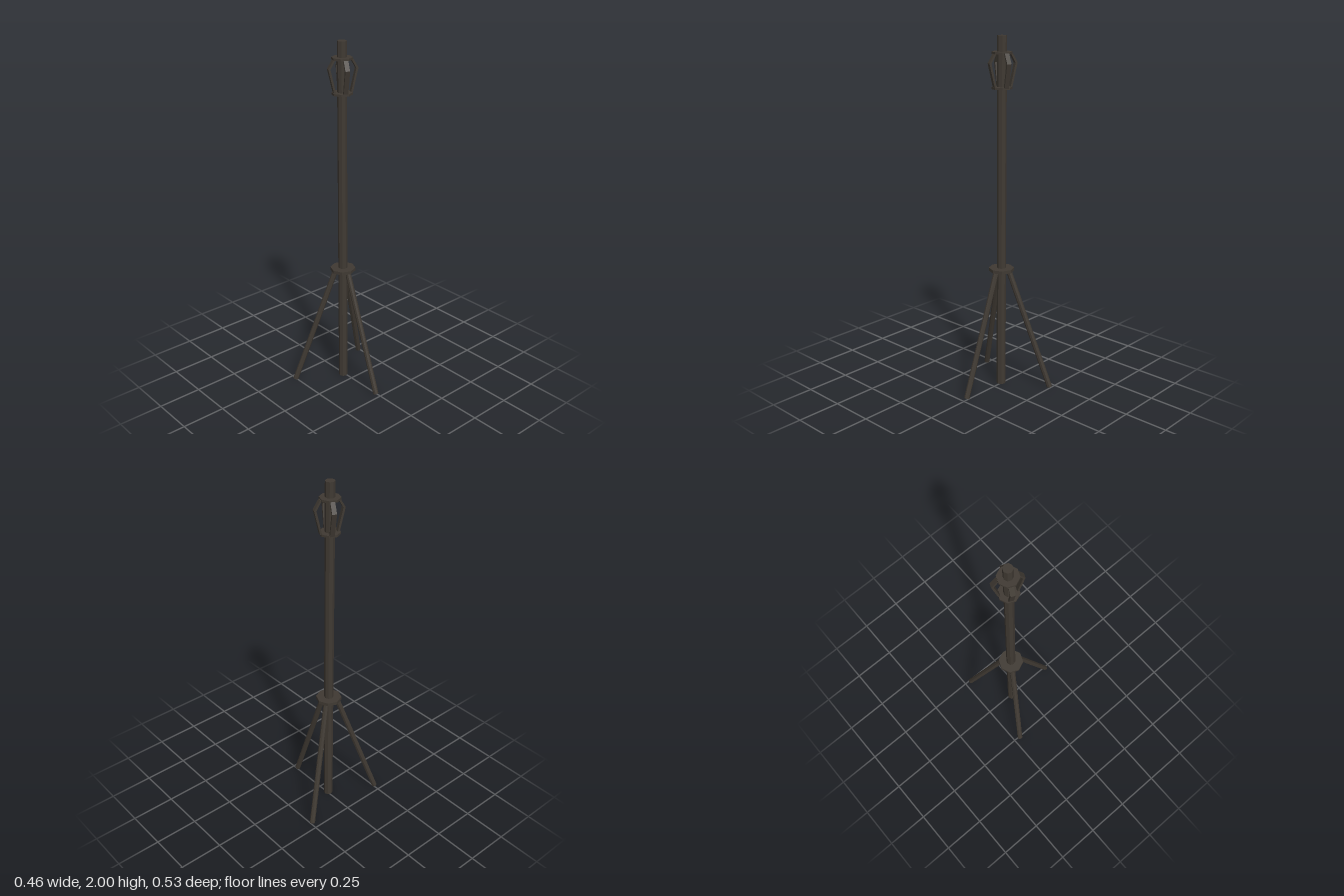
import * as THREE from 'three';

export function createModel() {
  const model = new THREE.Group();
  const darkIron = new THREE.MeshStandardMaterial({ color: 0x3f3932, flatShading: true });
  const axisX = -0.067, axisZ = 0.007;

  function add(name, geometry, parent = model) {
    const mesh = new THREE.Mesh(geometry, darkIron);
    mesh.name = name;
    parent.add(mesh);
    return mesh;
  }

  // Octagonal disc or post centred on the pole axis
  function column(name, radius, y0, y1) {
    add(name, new THREE.CylinderGeometry(radius, radius, y1 - y0, 8))
      .position.set(axisX, (y0 + y1) / 2, axisZ);
  }
  column('pole', 0.026, 0, 2);
  column('legCollar', 0.071, 0.696, 0.714);
  column('lowerCageRing', 0.056, 1.719, 1.731);
  column('upperCageRing', 0.056, 1.904, 1.916);

  // Three splayed legs
  const up = new THREE.Vector3(0, 1, 0);
  for (let i = 0; i < 3; i++) {
    const a = (i * Math.PI * 2) / 3;
    const foot = new THREE.Vector3(0.287 * Math.cos(a), 0.005, 0.287 * Math.sin(a));
    const hip = new THREE.Vector3(0.041 * Math.cos(a), 0.703, 0.041 * Math.sin(a));
    const along = hip.clone().sub(foot);
    const leg = add('leg', new THREE.CylinderGeometry(0.0155, 0.0155, along.length(), 8));
    leg.position.copy(foot).add(hip).multiplyScalar(0.5);
    leg.position.x += axisX;
    leg.position.z += axisZ;
    leg.quaternion.setFromUnitVectors(up, along.normalize());
  }

  // Four bent flat bars forming the cage
  const profile = new THREE.Shape([
    [0.040, 1.725], [0.051, 1.725], [0.082, 1.857], [0.051, 1.910],
    [0.040, 1.910], [0.070, 1.855],
  ].map(([x, y]) => new THREE.Vector2(x, y)));
  const barWidth = 0.025;
  const barGeometry = new THREE.ExtrudeGeometry(profile, { depth: barWidth, bevelEnabled: false });
  barGeometry.translate(0, 0, -barWidth / 2);
  const cage = new THREE.Group();
  cage.name = 'cage';
  cage.position.set(axisX, 0, axisZ - 0.005);
  for (let i = 0; i < 4; i++) {
    add('cageBar', barGeometry, cage).rotation.y = -Math.PI / 8 + (i * Math.PI) / 2;
  }
  model.add(cage);

  return model;
}
